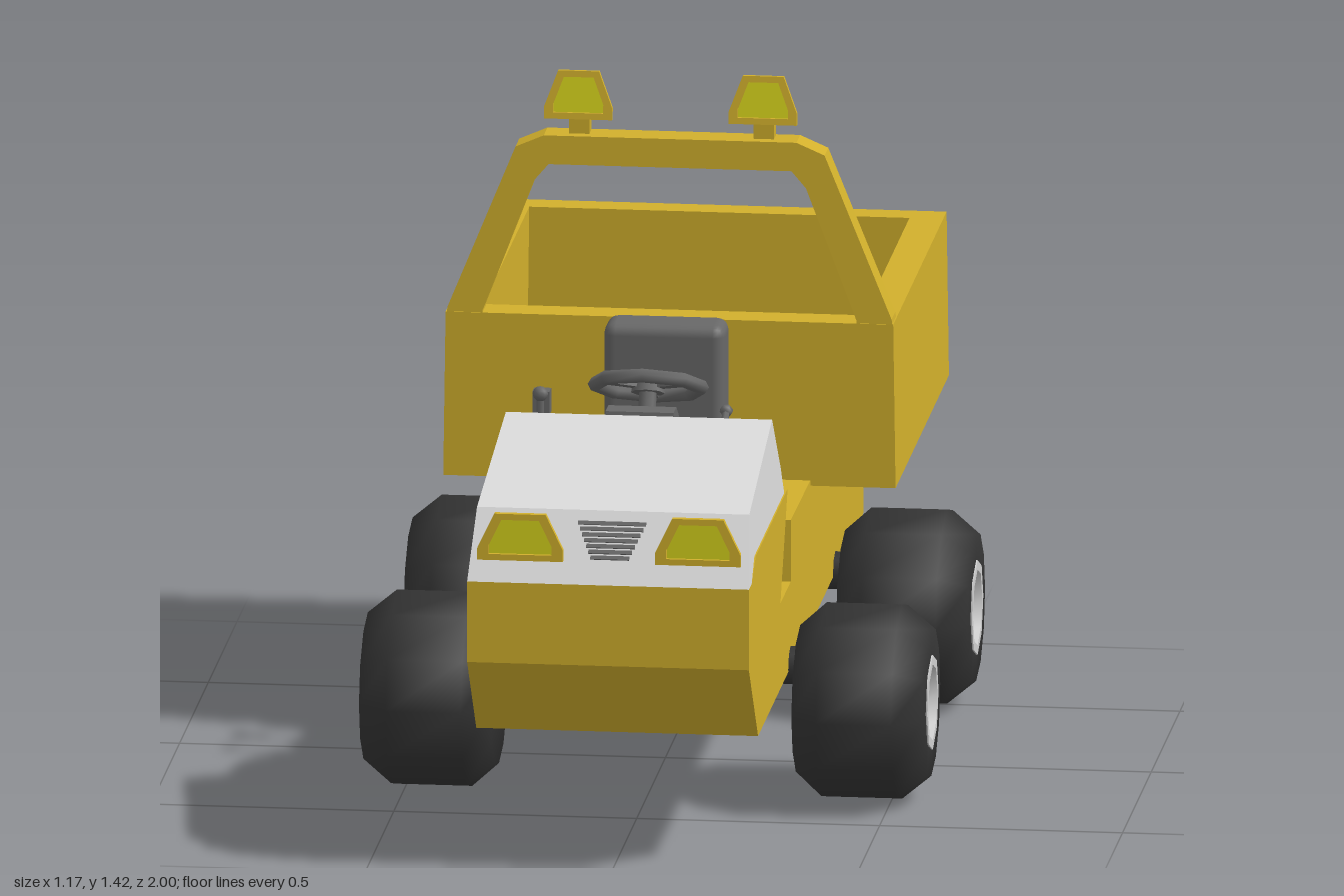
import * as THREE from 'three';
import { toCreasedNormals } from 'three/addons/utils/BufferGeometryUtils.js';
import { RoundedBoxGeometry } from 'three/addons/geometries/RoundedBoxGeometry.js';

const mat = (name, color) => {
  const m = new THREE.MeshStandardMaterial({ color });
  m.name = name;
  return m;
};

export function createModel() {
  const yellow = mat('yellow paint', 0xd2b02c);
  const white = mat('light hood paint', 0xdadada);
  const grey = mat('grey trim', 0x686868);
  const rubber = mat('tyre rubber', 0x343434);
  const silver = mat('silver hub', 0xd0d0d0);
  const lens = mat('lamp lens', 0xd6d41c);

  const model = new THREE.Group();
  model.name = 'siteDumper';

  const add = (name, geo, material, pos = [0, 0, 0], parent = model) => {
    const m = new THREE.Mesh(geo, material);
    m.name = name;
    m.position.set(...pos);
    parent.add(m);
    return m;
  };
  const group = (name, pos, parent = model) => {
    const g = new THREE.Group();
    g.name = name;
    g.position.set(...pos);
    parent.add(g);
    return g;
  };
  const box = (x, y, z) => new THREE.BoxGeometry(x, y, z);
  const shapeOf = (pts) => new THREE.Shape(pts.map(([x, y]) => new THREE.Vector2(x, y)));
  const extrude = (shape, depth) =>
    new THREE.ExtrudeGeometry(shape, { depth, bevelEnabled: false });
  // side profile given as [z, y], extruded across the width
  const prism = (pts, halfWidth) =>
    extrude(shapeOf(pts), halfWidth * 2).rotateY(-Math.PI / 2).translate(halfWidth, 0, 0);
  // move every vertex by a rule
  const warp = (geo, rule) => {
    const p = geo.attributes.position;
    const v = new THREE.Vector3();
    for (let i = 0; i < p.count; i++) {
      rule(v.fromBufferAttribute(p, i));
      p.setXYZ(i, v.x, v.y, v.z);
    }
    geo.computeVertexNormals();
    return geo;
  };

  // Chassis, footwell and nose
  add('chassis', prism([
    [-1, 0.27], [0.84, 0.27], [1, 0.45], [1, 0.62], [0.95, 0.62], [0.88, 0.66],
    [0.325, 0.66], [0.45, 0.45], [0.27, 0.45], [0.27, 0.58], [-1, 0.565],
  ], 0.29), yellow);

  // Hood, slightly narrower towards the top
  add('hood', warp(prism([
    [1, 0.62], [0.91, 0.755], [0.46, 0.84], [0.385, 0.72], [0.36, 0.66], [0.88, 0.66], [0.95, 0.62],
  ], 0.29), (v) => { v.x *= 1 - (v.y - 0.62) * 0.25; }), white);

  // Dump bed: open wall frame and floor
  const rim = shapeOf([[-0.465, 0.07], [0.465, 0.07], [0.465, 1], [-0.465, 1]]);
  rim.holes.push(new THREE.Path([
    [-0.395, 0.14], [-0.395, 0.94], [0.395, 0.94], [0.395, 0.14],
  ].map(([x, y]) => new THREE.Vector2(x, y))));
  add('bedWalls', warp(extrude(rim, 0.345).rotateX(-Math.PI / 2).translate(0, 0.565, 0),
    (v) => { v.x *= 1 - (v.y - 0.6) * 0.03; }), yellow);
  add('bedFloor', box(0.82, 0.025, 0.84), yellow, [0, 0.578, -0.54]);

  // Roll bar
  const half = [[0.46, 0.9], [0.457, 0.92], [0.318, 1.26], [0.26, 1.285]];
  const inner = [[0.25, 1.225], [0.28, 1.19], [0.385, 0.915], [0.385, 0.9]];
  const mirror = (pts) => pts.map(([x, y]) => [-x, y]).reverse();
  add('rollBar', warp(extrude(shapeOf([...half, ...mirror(half), ...mirror(inner), ...inner]), 0.065)
    .translate(0, 0, -0.137), (v) => { v.z -= (v.y - 0.9) * 0.025; }), yellow);

  // Lamps: tapered shell, raised rim and lens
  const lampOutline = (w, h, k) => [
    [-w, -h], [w, -h], [w, -h * 0.5], [w * 0.6, h], [-w * 0.6, h], [-w, -h * 0.5],
  ].map(([x, y]) => [x * k, y * k]);
  const lamp = (name, x, y, z, w, h, depth) => {
    const g = group(name, [x, y, z]);
    add('lampShell', warp(extrude(shapeOf(lampOutline(w, h, 1)), depth).translate(0, 0, -depth),
      (v) => {
        if (v.z < -depth / 2) { v.x *= 0.62; v.y *= 0.5; }
      }), yellow, [0, 0, -0.012], g);
    const ring = shapeOf(lampOutline(w, h, 1));
    ring.holes.push(shapeOf(lampOutline(w, h, 0.74)));
    add('lampRim', extrude(ring, 0.013), yellow, [0, 0, -0.0125], g);
    add('lampLens', extrude(shapeOf(lampOutline(w, h, 0.73)), 0.006), lens, [0, 0, -0.0115], g);
    return g;
  };
  for (const s of [-1, 1]) {
    lamp('headlight', 0.183 * s, 0.712, 0.985, 0.088, 0.049, 0.07);
    lamp('workLamp', 0.19 * s, 1.37, -0.09, 0.07, 0.05, 0.07).rotation.x = -0.12;
    add('lampPost', box(0.042, 0.06, 0.035), yellow, [0.19 * s, 1.305, -0.122]);
  }

  // Grille slats on the sloping nose
  const grille = group('grille', [0, 0.7, 0.946]);
  grille.rotation.x = -0.606;
  for (let i = 0; i < 7; i++) {
    add('grilleSlat', box(0.08 + i * 0.01, 0.008, 0.008), grey, [0, (i - 3) * 0.0125, 0], grille);
  }

  // Wheels
  const lathe = (pts, sides) => new THREE.LatheGeometry(
    pts.map(([r, y]) => new THREE.Vector2(r, y)), sides).rotateZ(-Math.PI / 2);
  const tyreGeo = toCreasedNormals(lathe([
    [0, -0.135], [0.155, -0.135], [0.205, -0.08], [0.205, 0.075], [0.155, 0.135], [0.095, 0.135],
  ], 12), 0.9);
  const hubGeo = toCreasedNormals(lathe([
    [0.1, 0.125], [0.1, 0.138], [0.08, 0.138], [0.07, 0.08], [0, 0.075],
  ], 8), 0.9);
  for (const z of [0.275, -0.505]) {
    for (const s of [-1, 1]) {
      const w = group(z > 0 ? 'frontWheel' : 'rearWheel', [0.445 * s, 0.205, z]);
      if (s < 0) w.rotation.y = Math.PI;
      add('tyre', tyreGeo, rubber, [0, 0, 0], w);
      add('hub', hubGeo, silver, [0, 0, 0], w);
      add('axle', new THREE.CylinderGeometry(0.04, 0.04, 0.22, 8).rotateZ(Math.PI / 2),
        rubber, [-0.2, 0.07, 0], w);
    }
  }

  // Seat with armrests
  const seat = group('seat', [0, 0, 0]);
  add('seatCushion', warp(new RoundedBoxGeometry(0.3, 0.07, 0.315, 2, 0.02),
    (v) => { if (v.z < 0) v.x *= 0.85; }), grey, [0, 0.615, 0.0875], seat);
  add('seatBack', new RoundedBoxGeometry(0.25, 0.34, 0.1, 2, 0.025), grey, [0, 0.75, -0.02], seat);
  add('armrestBracket', box(0.28, 0.025, 0.1), grey, [0, 0.665, -0.01], seat);
  for (const s of [-1, 1]) {
    add('armrest', new RoundedBoxGeometry(0.055, 0.04, 0.19, 1, 0.01), grey,
      [0.158 * s, 0.69, 0.06], seat).rotation.y = 0.3 * s;
  }

  // Steering column and wheel
  add('columnShroud', prism([[0.46, 0.79], [0.45, 0.845], [0.4, 0.845], [0.235, 0.735], [0.32, 0.665], [0.4, 0.68]], 0.07), grey);
  const steering = group('steeringWheel', [0, 0.862, 0.298]);
  steering.rotation.x = -2.01;
  add('wheelRim', new THREE.TorusGeometry(0.11, 0.015, 6, 8), grey, [0, 0, 0], steering);
  add('wheelHub', new THREE.CylinderGeometry(0.03, 0.035, 0.03, 8).rotateX(Math.PI / 2), grey, [0, 0, 0], steering);
  add('column', new THREE.CylinderGeometry(0.018, 0.018, 0.14, 8).rotateX(Math.PI / 2), grey, [0, 0, -0.07], steering);
  for (let i = 0; i < 3; i++) {
    add('wheelSpoke', box(0.022, 0.1, 0.014).translate(0, 0.055, 0), grey, [0, 0, 0], steering)
      .rotation.z = i * Math.PI * 2 / 3;
  }

  // Dash panel and dash lever
  const panel = group('dashPanel', [-0.18, 0.78, 0.42]);
  panel.rotation.x = -2.58;
  add('panelFrame', box(0.15, 0.095, 0.02), grey, [0, 0, 0], panel);
  add('panelScreen', box(0.12, 0.065, 0.006), rubber, [0, 0, 0.011], panel);
  const dashLever = group('dashLever', [0.165, 0.785, 0.41]);
  dashLever.rotation.x = -1.1;
  add('leverBoot', box(0.05, 0.025, 0.05), grey, [0, 0, 0], dashLever);
  add('leverStem', new THREE.CylinderGeometry(0.008, 0.008, 0.08, 6), grey, [0, 0.045, 0], dashLever);
  add('leverKnob', new THREE.SphereGeometry(0.014, 6, 5), grey, [0, 0.085, 0], dashLever);

  // Floor levers beside the seat
  const gear = group('gearLever', [-0.235, 0.58, 0.19]);
  [0.085, 0.06, 0.035].forEach((w, i) =>
    add('gearBoot', box(w, 0.03, w), grey, [0, 0.015 + i * 0.03, 0], gear));
  add('gearStem', new THREE.CylinderGeometry(0.008, 0.008, 0.16, 6), grey, [0, 0.15, 0], gear);
  add('gearKnob', new THREE.SphereGeometry(0.016, 8, 6), grey, [0, 0.23, 0], gear);
  const tip = group('tipLever', [-0.245, 0.58, 0.08]);
  add('tipBase', box(0.05, 0.03, 0.05), grey, [0, 0.015, 0], tip);
  add('tipStem', new THREE.CylinderGeometry(0.008, 0.008, 0.16, 6), grey, [0, 0.1, 0], tip);
  add('tipGrip', box(0.035, 0.05, 0.035), grey, [0, 0.185, 0], tip);

  return model;
}
